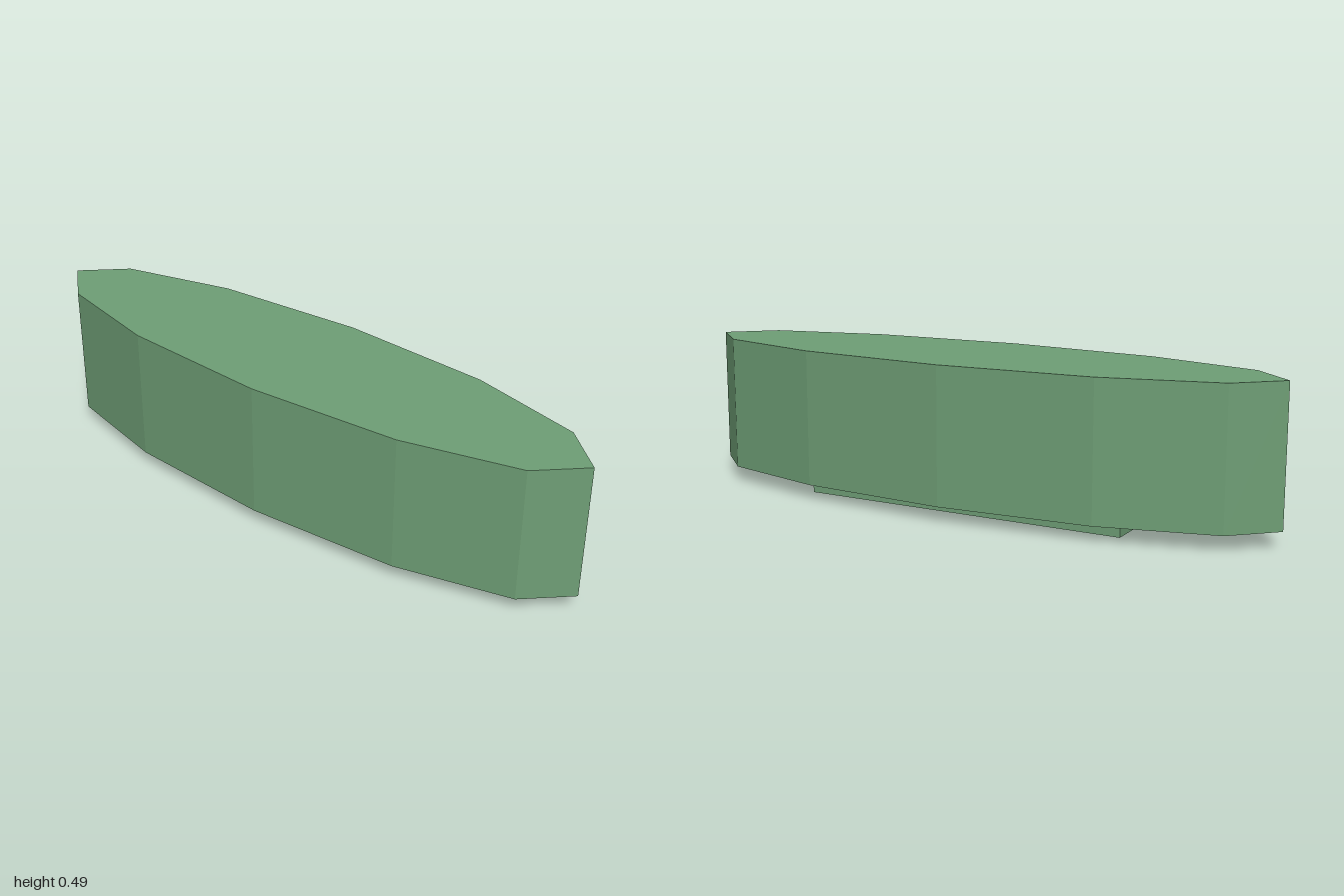
import * as THREE from 'three';

export function createModel() {
  const model = new THREE.Group();
  const green = new THREE.MeshStandardMaterial({ color: 0x6f9f76, flatShading: true });

  // Twelve-sided prism, flattened front to back
  const bodyBottom = 0.05, bodyTop = 0.488;
  const bodyGeometry = new THREE.CylinderGeometry(1, 1, bodyTop - bodyBottom, 12);
  bodyGeometry.scale(1, 1, 0.25);
  const body = new THREE.Mesh(bodyGeometry, green);
  body.name = 'body';
  body.position.y = (bodyBottom + bodyTop) / 2;
  model.add(body);

  // Low rectangular foot underneath
  const foot = new THREE.Mesh(new THREE.BoxGeometry(1.1, bodyBottom, 0.25), green);
  foot.name = 'foot';
  foot.position.y = bodyBottom / 2;
  model.add(foot);

  return model;
}
